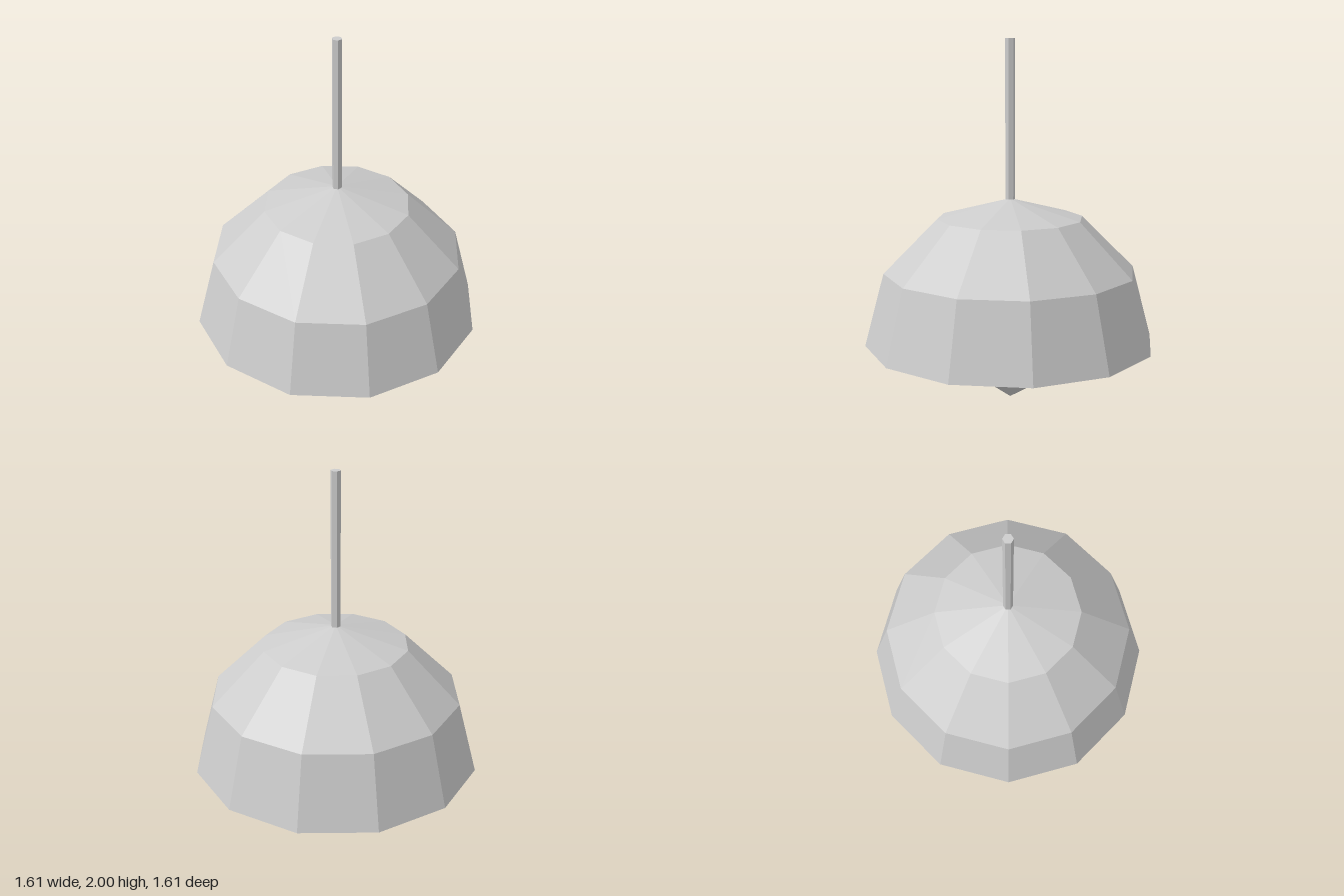
import * as THREE from 'three';

export function createModel() {
  const model = new THREE.Group();
  model.name = 'pendantLamp';

  const lightGrey = new THREE.MeshStandardMaterial({
    color: 0xcccccc, flatShading: true, side: THREE.DoubleSide,
  });
  lightGrey.name = 'lightGrey';

  const add = (name, geometry, y) => {
    const mesh = new THREE.Mesh(geometry, lightGrey);
    mesh.name = name;
    mesh.position.y = y;
    model.add(mesh);
  };

  // Open twelve-sided dome
  const shadeRadius = 0.806, rimY = 0.333;
  add('shade', new THREE.SphereGeometry(shadeRadius, 12, 3, 0, Math.PI * 2, 0, Math.PI / 2), rimY);

  // Hexagonal rod from the top of the dome
  const rodBottom = rimY + shadeRadius - 0.005, rodTop = 2;
  add('rod', new THREE.CylinderGeometry(0.027, 0.027, rodTop - rodBottom, 6), (rodTop + rodBottom) / 2);

  // Faceted bulb standing on one corner
  const bulbRadius = 0.255;
  const bulb = new THREE.IcosahedronGeometry(bulbRadius, 0);
  bulb.rotateZ(-Math.atan(2 / (1 + Math.sqrt(5))));
  add('bulb', bulb, bulbRadius + 0.003);

  return model;
}
